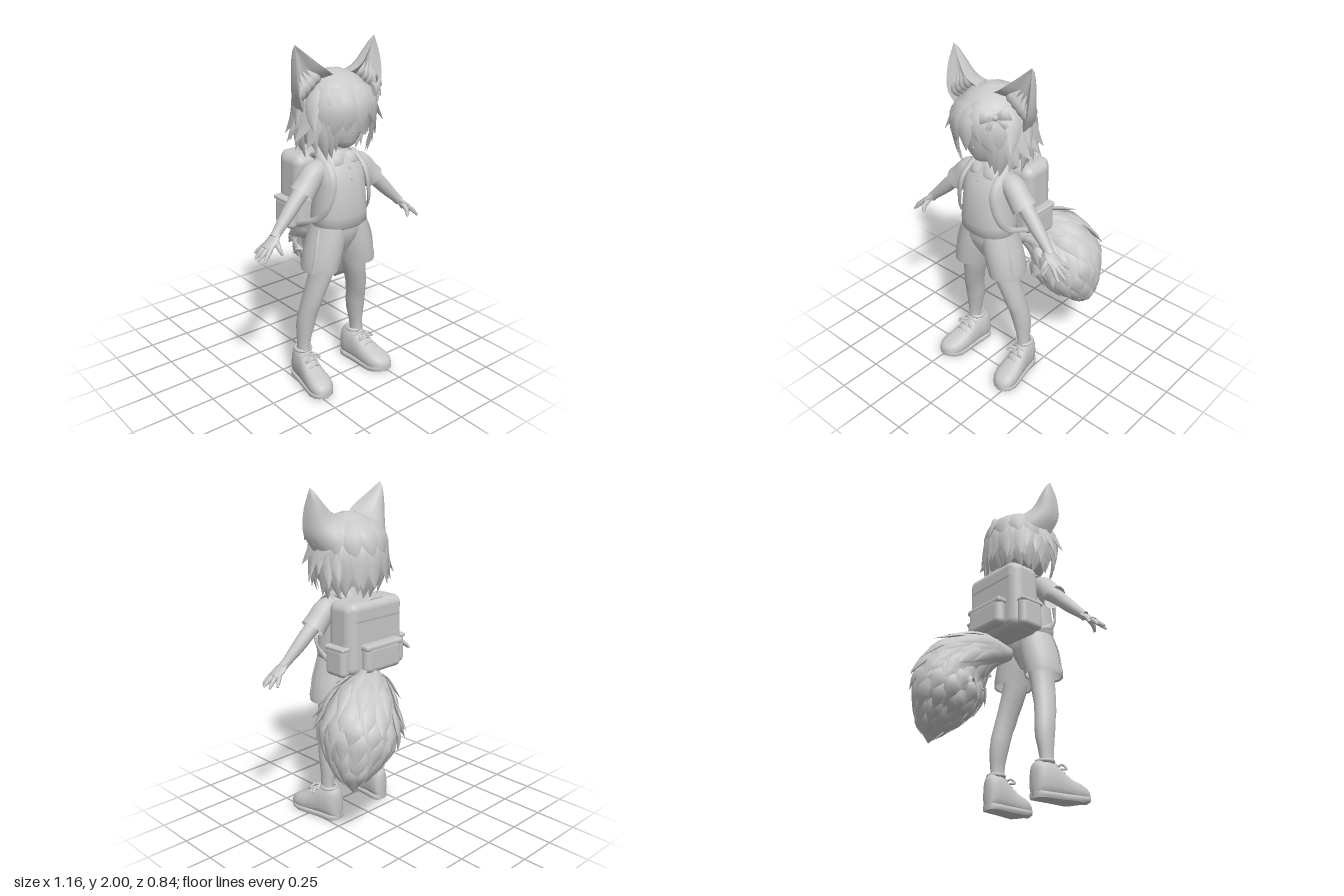
import * as THREE from 'three';
import { mergeGeometries, toCreasedNormals } from 'three/addons/utils/BufferGeometryUtils.js';
import { RoundedBoxGeometry } from 'three/addons/geometries/RoundedBoxGeometry.js';

const clay = new THREE.MeshStandardMaterial({ color: 0xc8c8c8, side: THREE.DoubleSide });
clay.name = 'clay grey';
const V = (x, y, z) => new THREE.Vector3(x, y, z);
const TAU = Math.PI * 2;
const curveOf = pts => new THREE.CatmullRomCurve3(pts, false, 'catmullrom', 0.5);
const sp = (v, p) => Math.sign(v) * Math.abs(v) ** p;

// skin equal-sized rings of points into a surface
function loft(rings, caps = true, crease = 0.9) {
  const n = rings[0].length, pos = [], idx = [], last = (rings.length - 1) * n;
  rings.forEach(r => r.forEach(p => pos.push(p.x, p.y, p.z)));
  for (let i = 0; i < rings.length - 1; i++) for (let j = 0; j < n; j++) {
    const a = i * n + j, b = i * n + (j + 1) % n;
    idx.push(a, b, a + n, b, b + n, a + n);
  }
  if (caps) for (const [ring, base, flip] of [[rings[0], 0, true], [rings.at(-1), last, false]]) {
    const c = ring.reduce((s, p) => s.add(p), V(0, 0, 0)).divideScalar(n), k = pos.length / 3;
    pos.push(c.x, c.y, c.z);
    for (let j = 0; j < n; j++) {
      const a = base + j, b = base + (j + 1) % n;
      flip ? idx.push(b, a, k) : idx.push(a, b, k);
    }
  }
  const g = new THREE.BufferGeometry();
  g.setAttribute('position', new THREE.Float32BufferAttribute(pos, 3));
  g.setIndex(idx);
  return toCreasedNormals(g, crease);
}

// upright form from rows of [y, cx, cz, rx, rz]; power below 1 squares the section
function stack(rows, caps = true, power = 1, n = 24) {
  return loft(rows.map(([y, cx, cz, rx, rz]) => Array.from({ length: n }, (_, j) =>
    V(cx + sp(Math.sin(j / n * TAU), power) * rx, y, cz + sp(Math.cos(j / n * TAU), power) * rz))), caps);
}

// tapered limb, lock or strap along a curve; ref is the direction of its thin side
function limb(pts, widths, { n = 12, flat = 1, ref = V(0, 0, 1), steps = 12, caps = true } = {}) {
  const path = curveOf(pts), wide = curveOf(widths.map(w => V(w, 0, 0))), rings = [];
  for (let i = 0; i <= steps; i++) {
    const t = i / steps, c = path.getPoint(t), d = path.getTangent(t), w = Math.max(wide.getPoint(t).x, 0.001);
    const side = d.clone().cross(ref).normalize(), up = d.clone().cross(side);
    rings.push(Array.from({ length: n }, (_, j) => c.clone()
      .addScaledVector(side, Math.cos(j / n * TAU) * w).addScaledVector(up, Math.sin(j / n * TAU) * w * flat)));
  }
  return loft(rings, caps);
}

// hair envelope: dome above, hanging mass below
function hairAt(a, y, k = 1) {
  const d = y - 1.64, h = d > 0 ? Math.sqrt(Math.max(0, 1 - (d / 0.21) ** 2)) : 1 - 0.25 * (d / 0.25) ** 2;
  return V(Math.sin(a) * 0.208 * h * k, y, 0.165 + Math.cos(a) * 0.218 * h * k);
}
function hairLock(a, y0, y1, w, flare, twist = 0) {
  const pts = [0, 0.35, 0.7, 1].map((t, i) => hairAt(a + twist * t * t, y0 + (y1 - y0) * t, [0.93, 1.01, 1.01 + (flare - 1) * 0.35, flare][i]));
  return limb(pts, [w * 0.3, w, w * 0.75, 0.001], { n: 6, flat: 0.3, ref: V(Math.sin(a), 0.2, Math.cos(a)), steps: 7 });
}

export function createModel() {
  const root = new THREE.Group();
  let seed = 7;
  const rnd = () => (seed = (seed * 16807) % 2147483647) / 2147483647;
  const add = (name, geo, parent = root) => {
    const m = new THREE.Mesh(geo, clay);
    m.name = name;
    parent.add(m);
  };
  const at = (geo, x, y, z) => geo.translate(x, y, z);
  const pair = (name, ...geos) => {
    for (const s of [1, -1]) {
      const g = new THREE.Group();
      g.name = (s > 0 ? 'left ' : 'right ') + name;
      g.scale.x = s;
      geos.forEach(geo => add(name, geo, g));
      root.add(g);
    }
  };

  // head and neck
  add('head', stack([[1.435, 0, 0.25, 0.02, 0.025], [1.45, 0, 0.225, 0.065, 0.075], [1.48, 0, 0.2, 0.11, 0.115], [1.53, 0, 0.18, 0.15, 0.145],
    [1.6, 0, 0.17, 0.17, 0.165], [1.68, 0, 0.165, 0.17, 0.165], [1.75, 0, 0.165, 0.13, 0.13]]));
  add('nose', at(new THREE.SphereGeometry(0.006, 8, 6), 0, 1.535, 0.325));
  add('mouth', limb([V(-0.035, 1.488, 0.296), V(0, 1.482, 0.312), V(0.035, 1.488, 0.296)], [0.001, 0.004, 0.001], { n: 6 }));
  add('neck', stack([[1.34, 0, 0.18, 0.06, 0.055], [1.42, 0, 0.18, 0.05, 0.048], [1.49, 0, 0.18, 0.055, 0.055]]));

  // hair cap, open over the face
  const capRings = [];
  for (let i = 16; i >= 0; i--) capRings.push(Array.from({ length: 36 }, (_, j) => {
    const a = j / 36 * TAU, e = THREE.MathUtils.smoothstep(Math.min(a, TAU - a), 0.7, 1.3), t = i / 16;
    const y = t < 0.6 ? 1.66 + 0.19 * Math.cos(t / 0.6 * Math.PI / 2) : 1.66 - (t - 0.6) / 0.4 * 0.2 * e;
    return hairAt(a, y);
  }));
  add('hair cap', loft(capRings, false));

  // swept fringe, cheek locks, flicked sides and shaggy back
  const locks = [];
  for (const [a, tip, w, twist] of [[-0.85, 1.5, 0.055, -0.2], [-0.55, 1.51, 0.06, -0.25], [-0.28, 1.55, 0.06, -0.15], [0.0, 1.54, 0.058, 0.04],
    [0.22, 1.6, 0.05, 0.25], [0.48, 1.53, 0.06, 0.28], [0.8, 1.5, 0.058, 0.2]]) locks.push(hairLock(a, 1.847, tip, w, 1.05, twist));
  for (const s of [1, -1]) {
    locks.push(hairLock(s * 0.72, 1.72, 1.44, 0.03, 0.98, -s * 0.08), hairLock(s * 0.92, 1.74, 1.4, 0.042, 1.04, -s * 0.15));
    for (let i = 0; i < 5; i++) {
      const a = s * (1.1 + i * 0.22);
      locks.push(hairLock(a, 1.76, 1.39 + 0.04 * (i % 3), 0.045, 1.14 + 0.12 * (i % 2), -s * 0.2));
      locks.push(hairLock(a, 1.74, 1.46 + 0.035 * (i % 3), 0.044, 1.38 + 0.08 * (i % 2), s * 0.2));
      if (i % 2) locks.push(hairLock(a, 1.8, 1.56, 0.048, 1.33, -s * 0.25));
    }
  }
  for (let i = 0; i < 13; i++) {
    const a = 1.75 + i / 12 * (TAU - 3.5);
    locks.push(hairLock(a, 1.68, 1.37 + 0.05 * rnd(), 0.05, 1.06 + 0.15 * rnd(), rnd() * 0.4 - 0.2));
    locks.push(hairLock(a + 0.1, 1.76, 1.42 + 0.08 * rnd(), 0.052, 1.16 + 0.2 * rnd(), rnd() * 0.4 - 0.2));
    if (i % 2) locks.push(hairLock(a, 1.845, 1.56 + 0.08 * rnd(), 0.062, 1.07 + 0.06 * rnd(), 0.12));
  }
  add('hair locks', mergeGeometries(locks));

  // deep cupped ears with inner fur
  const outer = curveOf([V(0.235, 1.65, 0.2), V(0.282, 1.75, 0.225), V(0.287, 1.88, 0.21), V(0.27, 2, 0.175)]);
  const inner = curveOf([V(0.04, 1.82, 0.22), V(0.115, 1.866, 0.245), V(0.195, 1.932, 0.215), V(0.269, 2, 0.175)]);
  const earRings = [];
  for (let i = 0; i <= 10; i++) {
    const t = i / 10, O = outer.getPoint(t), I = inner.getPoint(t), depth = 0.185 * (1 - t) ** 0.7, ring = [];
    const edge = (f, back) => ring.push(O.clone().lerp(I, f).add(V(0, 0, -back)));
    for (let j = 0; j <= 10; j++) edge(0.5 - 0.5 * Math.cos(j / 10 * Math.PI), depth * Math.sin(j / 10 * Math.PI) ** 0.8);
    for (let j = 9; j > 0; j--) edge(0.06 + 0.88 * j / 10, depth * 0.5 * Math.sin(j / 10 * Math.PI));
    earRings.push(ring);
  }
  const fur = [0, 1, 2, 3].map(i => limb([V(0.235 - i * 0.034, 1.69 + i * 0.026, 0.17), V(0.25 - i * 0.032, 1.75 + i * 0.022, 0.21),
    V(0.262 - i * 0.02, 1.84 + i * 0.01, 0.18)], [0.018, 0.026, 0.001], { n: 6, flat: 0.3, steps: 6 }));
  pair('ear', loft(earRings), mergeGeometries(fur));

  // hair bow
  const bow = new THREE.Group();
  bow.name = 'hair bow';
  for (const s of [1, -1]) {
    add('bow loop', limb([V(0, 0, 0), V(s * 0.04, 0.008, 0.012), V(s * 0.075, 0.014, 0)], [0.012, 0.026, 0.038], { n: 8, flat: 0.35 }), bow);
    add('bow end', limb([V(0, 0, 0), V(s * 0.03, -0.03, 0.005), V(s * 0.05, -0.06, -0.005)], [0.006, 0.014, 0.016], { n: 6, flat: 0.3 }), bow);
  }
  add('bow knot', new THREE.SphereGeometry(0.018, 10, 8), bow);
  bow.position.set(0.16, 1.755, 0.325);
  bow.rotation.set(-0.3, 0.6, 0.35);
  root.add(bow);

  // shirt with collar, buttons and sleeves
  add('shirt', stack([[0.985, 0, 0.215, 0.152, 0.115], [1.0, 0, 0.215, 0.166, 0.128], [1.06, 0, 0.215, 0.165, 0.134], [1.14, 0, 0.215, 0.155, 0.13],
    [1.24, 0, 0.21, 0.15, 0.122], [1.31, 0, 0.2, 0.15, 0.108], [1.36, 0, 0.188, 0.135, 0.088], [1.395, 0, 0.182, 0.09, 0.07], [1.41, 0, 0.18, 0.06, 0.056]], true, 0.88));
  add('collar band', stack([[1.37, 0, 0.185, 0.095, 0.085], [1.42, 0, 0.18, 0.066, 0.062]], false));
  pair('collar flap', limb([V(0.012, 1.4, 0.25), V(0.05, 1.375, 0.27), V(0.082, 1.345, 0.274)], [0.012, 0.034, 0.004], { n: 8, flat: 0.2, ref: V(0, 0.5, 0.85), steps: 6 }));
  for (const y of [1.33, 1.27]) add('button', at(new THREE.SphereGeometry(0.007, 8, 6), 0, y, y > 1.3 ? 0.303 : 0.325));
  pair('sleeve', limb([V(0.09, 1.32, 0.185), V(0.16, 1.3, 0.19), V(0.215, 1.24, 0.195), V(0.252, 1.2, 0.198)], [0.05, 0.066, 0.069, 0.073], { n: 16, caps: false }));

  // arms and hands
  const finger = (a, b, c, r = 0.013) => limb([V(...a), V(...b), V(...c)], [r, r, r * 0.5], { n: 8, steps: 6 });
  pair('arm',
    limb([V(0.16, 1.28, 0.19), V(0.27, 1.195, 0.2), V(0.35, 1.115, 0.21), V(0.43, 1.037, 0.222), V(0.455, 1.012, 0.228)], [0.045, 0.044, 0.039, 0.028, 0.028], { n: 14 }),
    limb([V(0.435, 1.03, 0.225), V(0.47, 0.998, 0.232), V(0.515, 0.963, 0.235)], [0.026, 0.042, 0.04], { n: 12, flat: 0.45, ref: V(0.66, 0.75, 0) }),
    finger([0.495, 0.98, 0.262], [0.53, 0.945, 0.275], [0.558, 0.913, 0.285]),
    finger([0.5, 0.975, 0.244], [0.54, 0.945, 0.248], [0.577, 0.915, 0.25]),
    finger([0.5, 0.975, 0.222], [0.54, 0.942, 0.215], [0.568, 0.912, 0.208]),
    finger([0.495, 0.978, 0.203], [0.52, 0.952, 0.185], [0.542, 0.925, 0.168], 0.012),
    finger([0.455, 1.005, 0.245], [0.465, 0.97, 0.285], [0.455, 0.935, 0.306], 0.014));

  // shorts
  add('shorts seat', stack([[0.815, 0, 0.212, 0.02, 0.06], [0.86, 0, 0.212, 0.05, 0.085], [0.91, 0, 0.212, 0.12, 0.108], [0.96, 0, 0.212, 0.165, 0.12], [1.03, 0, 0.212, 0.15, 0.115]]));
  pair('shorts leg',
    stack([[0.745, 0.133, 0.21, 0.096, 0.113], [0.735, 0.133, 0.21, 0.101, 0.119], [0.765, 0.13, 0.21, 0.105, 0.122], [0.85, 0.107, 0.21, 0.109, 0.122],
      [0.93, 0.088, 0.211, 0.104, 0.121], [1.0, 0.075, 0.212, 0.093, 0.112]], false),
    limb([V(0.172, 0.99, 0.25), V(0.203, 0.88, 0.265), V(0.223, 0.745, 0.265)], [0.009, 0.01, 0.01], { n: 6, flat: 0.5, ref: V(0.8, 0, 0.5) }));

  // legs
  pair('leg', stack([[0.14, 0.205, 0.148, 0.038, 0.046], [0.22, 0.204, 0.148, 0.034, 0.043], [0.28, 0.2, 0.146, 0.039, 0.049], [0.35, 0.192, 0.148, 0.049, 0.059],
    [0.42, 0.185, 0.158, 0.054, 0.063], [0.47, 0.178, 0.168, 0.053, 0.064], [0.51, 0.17, 0.178, 0.054, 0.069], [0.56, 0.16, 0.187, 0.056, 0.069],
    [0.64, 0.138, 0.2, 0.062, 0.074], [0.72, 0.117, 0.21, 0.067, 0.078], [0.85, 0.1, 0.21, 0.075, 0.085]]));

  // shoes: sections of [z, half width, top] run from heel to toe
  const shoeRows = [[0.06, 0.022, 0.17], [0.068, 0.042, 0.192], [0.085, 0.054, 0.206], [0.12, 0.058, 0.21], [0.175, 0.06, 0.203], [0.22, 0.064, 0.165],
    [0.28, 0.072, 0.128], [0.33, 0.075, 0.112], [0.37, 0.067, 0.096], [0.395, 0.051, 0.08], [0.408, 0.032, 0.064], [0.413, 0.012, 0.048]];
  const shoeX = z => 0.19 + (z - 0.06) * 0.12;
  const shoe = loft(shoeRows.map(([z, w, top]) => Array.from({ length: 18 }, (_, j) => {
    const c = Math.cos(j / 18 * TAU), s = Math.sin(j / 18 * TAU);
    return V(shoeX(z) + sp(c, 0.75) * w * (1 - 0.1 * s), 0.008 + (top - 0.008) * 0.5 * (1 + sp(s, 0.75)), z);
  })));
  const sole = loft(shoeRows.map(([z, w]) => [[0.92, 0], [1, 0.008], [1, 0.026], [0.92, 0.032], [-0.92, 0.032], [-1, 0.026], [-1, 0.008], [-0.92, 0]].map(([sx, y]) =>
    V(shoeX(z) + sx * (w + 0.002), y + Math.max(0, z - 0.33) * 0.18, z))));
  const laces = [[0.19, 0.198], [0.225, 0.167], [0.255, 0.147]].map(([z, y]) =>
    limb([V(shoeX(z) - 0.045, y - 0.022, z), V(shoeX(z), y + 0.002, z + 0.01), V(shoeX(z) + 0.045, y - 0.022, z)], [0.006, 0.007, 0.006], { n: 6 }));
  for (const s of [1, -1]) laces.push(limb([V(0.207, 0.19, 0.215), V(0.207 + s * 0.03, 0.197, 0.232), V(0.207 + s * 0.05, 0.172, 0.242), V(0.207 + s * 0.015, 0.175, 0.228)],
    [0.006, 0.007, 0.007, 0.006], { n: 6 }));
  pair('shoe', shoe, sole, mergeGeometries(laces),
    at(new THREE.TorusGeometry(0.046, 0.011, 8, 20).rotateX(Math.PI / 2), 0.2, 0.203, 0.135));

  // backpack, slightly narrower at the top and bowed at the back
  const bowed = (w, h, d, r, x, y, z, taper = 0) => {
    const g = new RoundedBoxGeometry(w, h, d, 5, r), p = g.attributes.position;
    for (let i = 0; i < p.count; i++) {
      p.setZ(i, p.getZ(i) + 0.8 * p.getX(i) ** 2 * (p.getZ(i) < 0 ? 1 : 0));
      p.setX(i, p.getX(i) * (1 - p.getY(i) * taper));
    }
    return at(g, x, y, z);
  };
  add('backpack body', bowed(0.43, 0.43, 0.23, 0.055, 0, 1.165, 0.005, 0.08));
  add('backpack flap', bowed(0.405, 0.14, 0.2, 0.045, 0, 1.31, -0.012));
  add('backpack pocket', bowed(0.28, 0.165, 0.08, 0.035, 0, 1.055, -0.115));
  add('pocket flap', bowed(0.288, 0.035, 0.084, 0.014, 0, 1.125, -0.117));
  add('backpack handle', limb([V(-0.06, 1.365, -0.05), V(-0.04, 1.38, -0.055), V(0.04, 1.38, -0.055), V(0.06, 1.365, -0.05)], [0.012, 0.012, 0.012, 0.012], { n: 6, flat: 0.5 }));
  pair('backpack side pocket', bowed(0.065, 0.175, 0.155, 0.03, 0.223, 1.04, 0.02),
    bowed(0.068, 0.025, 0.158, 0.011, 0.223, 1.118, 0.02));
  pair('backpack strap', limb([V(0.1, 1.34, 0.08), V(0.105, 1.39, 0.14), V(0.112, 1.385, 0.21), V(0.118, 1.31, 0.298), V(0.132, 1.2, 0.312), V(0.166, 1.07, 0.265), V(0.192, 0.99, 0.1)],
    [0.02, 0.022, 0.022, 0.022, 0.022, 0.018, 0.014], { n: 8, flat: 0.4, ref: V(0.3, 0.45, 0.8), steps: 26 }));

  // tail: full core, a little wider than deep, wrapped in overlapping pointed tufts
  const tailPts = [V(0.02, 0.89, 0.09), V(0.09, 0.87, -0.07), V(0.205, 0.785, -0.16), V(0.265, 0.65, -0.19), V(0.335, 0.48, -0.225), V(0.355, 0.36, -0.24)];
  const tailR = [0.035, 0.12, 0.183, 0.19, 0.1, 0.002], ref = V(0.7, 0, 0.7), tailFlat = 1.1;
  add('tail core', limb(tailPts, tailR, { n: 24, ref, steps: 24, flat: tailFlat }));
  const tail = curveOf(tailPts), girth = curveOf(tailR.map(r => V(r, 0, 0)));
  const onTail = (t, a, k) => {
    const d = tail.getTangent(t), side = d.clone().cross(ref).normalize(), up = d.clone().cross(side);
    const out = side.multiplyScalar(Math.cos(a)).addScaledVector(up, Math.sin(a) * tailFlat);
    return { out, p: tail.getPoint(t).addScaledVector(out, girth.getPoint(t).x * k) };
  };
  const tufts = [];
  for (let row = 0; row < 8; row++) {
    const t = 0.1 + row * 0.093, n = [8, 9, 11, 12, 12, 12, 9, 7][row];
    for (let j = 0; j < n; j++) {
      const a = (j + (row % 2) / 2 + rnd() * 0.35) / n * TAU, len = 0.17 + rnd() * 0.06, tip = 1.14 + rnd() * 0.12;
      const q = [[0, 0.93], [0.45, 1.04], [1, tip]].map(([f, k]) => onTail(Math.min(t + len * f, 0.99), a + f * 0.1, k));
      const w = 0.024 + girth.getPoint(t).x * 0.14;
      tufts.push(limb(q.map(o => o.p), [w * 0.7, w, 0.001], { n: 6, flat: 0.32, ref: q[1].out, steps: 6 }));
    }
  }
  add('tail tufts', mergeGeometries(tufts));
  return root;
}
